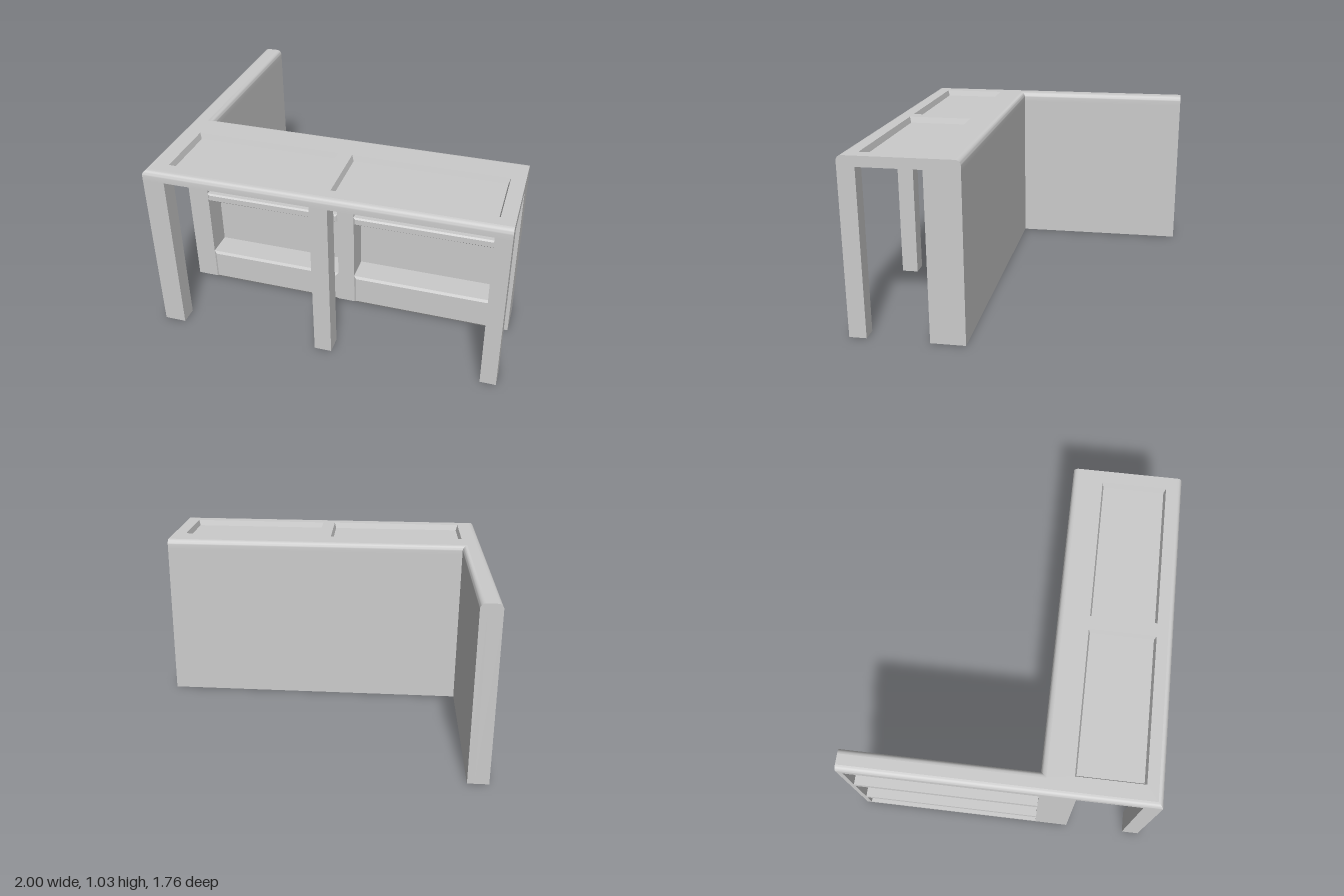
import * as THREE from 'three';
import { toCreasedNormals } from 'three/addons/utils/BufferGeometryUtils.js';

const TOP = 1.035, UNDER = 0.975, ROUND = 0.03;
const BACK = 0.22, WALL = 0.42, FRONT = 0.88, REAR = -0.88, WING = -0.88;
const BAYS = [[-0.875, -0.05], [0.05, 0.91]];
const POSTS = [[-1, -0.875], [-0.05, 0.05], [0.91, 1]];

const material = new THREE.MeshStandardMaterial({ color: 0xcccccc });

function add(parent, name, geometry) {
  const mesh = new THREE.Mesh(geometry, material);
  mesh.name = name;
  parent.add(mesh);
  return mesh;
}

// Box given by its ranges along x, y and z
function block(parent, name, [x0, x1], [y0, y1], [z0, z1]) {
  const g = new THREE.BoxGeometry(x1 - x0, y1 - y0, z1 - z0);
  g.translate((x0 + x1) / 2, (y0 + y1) / 2, (z0 + z1) / 2);
  return add(parent, name, g);
}

// Skin between successive rings of [x, y, z] points
function skin(rings) {
  const p = [];
  for (let r = 0; r < rings.length - 1; r++) {
    const lo = rings[r], hi = rings[r + 1], n = lo.length;
    for (let i = 0; i < n; i++) {
      const j = (i + 1) % n;
      p.push(...lo[i], ...lo[j], ...hi[j], ...lo[i], ...hi[j], ...hi[i]);
    }
  }
  const g = new THREE.BufferGeometry();
  g.setAttribute('position', new THREE.Float32BufferAttribute(p, 3));
  g.computeVertexNormals();
  return toCreasedNormals(g, 0.6);
}

// L-shaped outline; the long edges move in, the two cut ends stay put
const outline = (i) => [
  [-1 + i, FRONT - i], [1, FRONT - i], [1, BACK + i],
  [WING - i, BACK + i], [WING - i, REAR], [-1 + i, REAR],
];
const rect = (x0, x1, z0, z1, i) => [
  [x0 + i, z1 - i], [x1 - i, z1 - i], [x1 - i, z0 + i], [x0 + i, z0 + i],
];
const at = (pts, y) => pts.map(([x, z]) => [x, y, z]);
const vectors = (pts, s) => pts.map(([x, z]) => new THREE.Vector2(x, s * z));

// Flat upward face, optionally with holes
function flatTop(pts, y, holes = []) {
  const shape = new THREE.Shape(vectors(pts, -1));
  holes.forEach((h) => shape.holes.push(new THREE.Path(vectors(h, -1))));
  return new THREE.ShapeGeometry(shape).rotateX(-Math.PI / 2).translate(0, y, 0);
}

// Block whose front stands proud of the wall with a chamfered edge
function proudPanel(parent, name, [x0, x1], [y0, y1], chamfer) {
  block(parent, name, [x0, x1], [y0, y1], [0.27, WALL]);
  const w = x1 - x0, h = y1 - y0, d = 0.01;
  const g = new THREE.BoxGeometry(w, h, d);
  const pos = g.attributes.position;
  for (let i = 0; i < pos.count; i++) {
    if (pos.getZ(i) > 0) {
      pos.setX(i, Math.sign(pos.getX(i)) * (w / 2 - chamfer));
      pos.setY(i, Math.sign(pos.getY(i)) * (h / 2 - chamfer));
    }
  }
  g.computeVertexNormals();
  g.translate((x0 + x1) / 2, (y0 + y1) / 2, WALL + d / 2);
  add(parent, name + 'Face', g);
}

export function createModel() {
  const model = new THREE.Group();
  model.name = 'cornerCounter';

  // Counter top: rounded rim, flat surface with two sunken trays, underside
  const counter = new THREE.Group();
  counter.name = 'counterTop';
  const rings = [at(outline(0), UNDER)];
  for (let k = 0; k <= 6; k++) {
    const a = (k / 6) * Math.PI / 2;
    rings.push(at(outline(ROUND * (1 - Math.cos(a))), TOP - ROUND + ROUND * Math.sin(a)));
  }
  add(counter, 'roundedRim', skin(rings));

  const trays = BAYS.map(([x0, x1]) => (i) => rect(x0 - 0.01, x1 + 0.01, 0.4, 0.785, i));
  add(counter, 'surface', flatTop(outline(ROUND), TOP, trays.map((t) => t(0))));
  trays.forEach((tray) => {
    add(counter, 'trayEdge', skin([at(tray(0), TOP), at(tray(0.01), TOP - 0.035)]));
    add(counter, 'trayFloor', flatTop(tray(0.01), TOP - 0.035));
  });
  const under = new THREE.ShapeGeometry(new THREE.Shape(vectors(outline(0), 1)));
  add(counter, 'underside', under.rotateX(Math.PI / 2).translate(0, UNDER, 0));
  model.add(counter);

  // Front legs and the matching uprights of the back wall
  POSTS.forEach((x) => {
    block(model, 'frontLeg', x, [0, UNDER], [0.78, FRONT]);
    block(model, 'wallUpright', x, [0, UNDER], [0.27, WALL]);
  });
  block(model, 'backPanel', [-1, 1], [0, UNDER], [BACK, 0.27]);

  // Shelf and kick panel in each bay
  BAYS.forEach((x) => {
    proudPanel(model, 'shelf', x, [0.58, 0.63], 0.008);
    proudPanel(model, 'kickPanel', x, [0, 0.2], 0.015);
  });

  // Side wing with shallow shelves on its outer face
  const wing = new THREE.Group();
  wing.name = 'sideWing';
  block(wing, 'wingPanel', [-0.92, WING], [0, UNDER], [REAR, BACK]);
  block(wing, 'wingEndUpright', [-1, -0.92], [0, UNDER], [REAR, -0.85]);
  [[0, 0.02], [0.18, 0.22], [0.58, 0.63], [0.955, UNDER]].forEach((y) =>
    block(wing, 'wingShelf', [-1, -0.92], y, [-0.85, BACK]));
  model.add(wing);

  return model;
}
